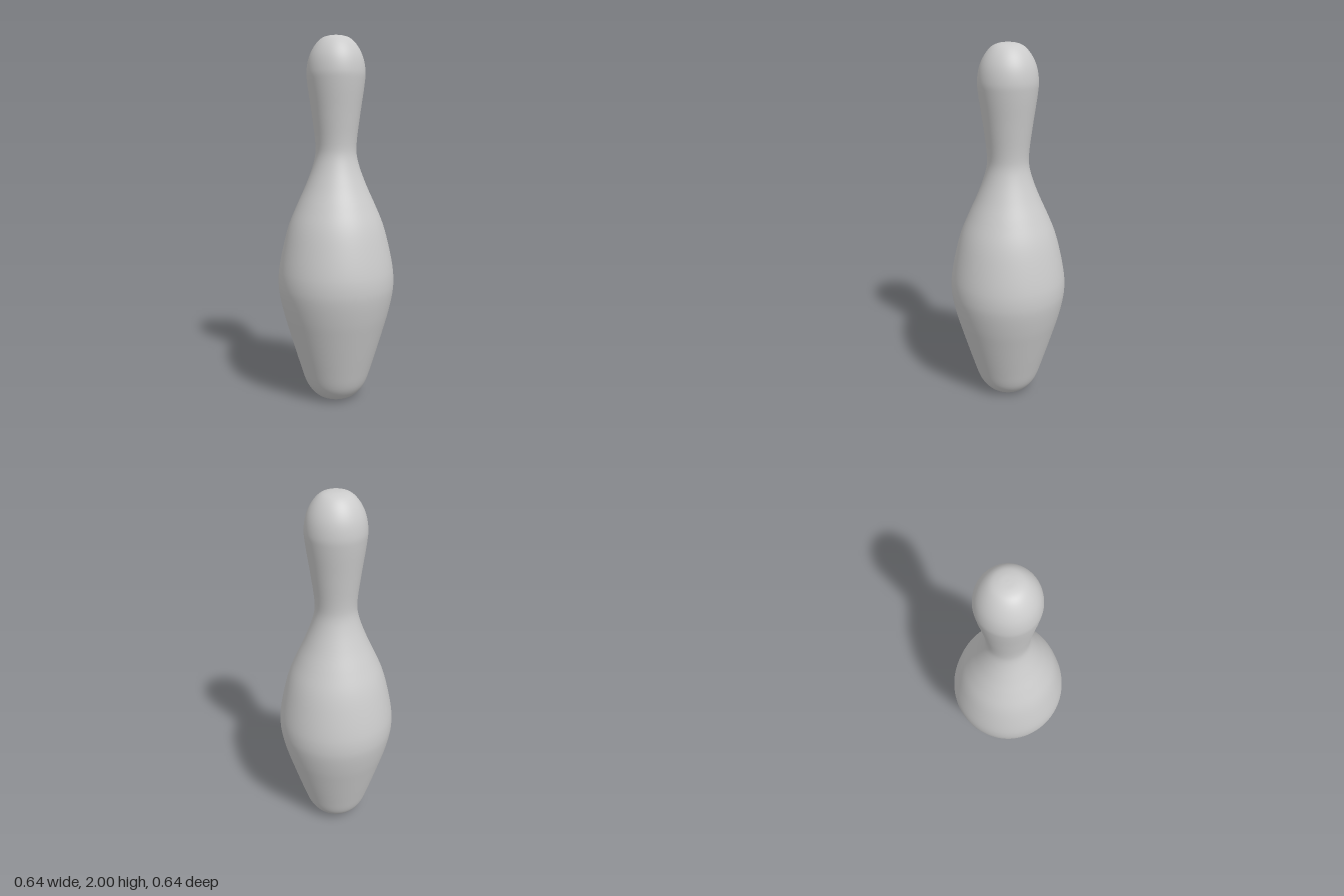
import * as THREE from 'three';

// Half profile from base to crown: [radius, height]
const PROFILE = [
  [0, 0], [0.05, 0.001], [0.09, 0.007], [0.12, 0.026], [0.15, 0.06], [0.172, 0.1],
  [0.205, 0.2], [0.265, 0.4], [0.293, 0.5], [0.314, 0.6], [0.32, 0.66], [0.316, 0.74],
  [0.284, 0.9], [0.255, 1.0], [0.213, 1.1], [0.168, 1.2], [0.13, 1.3], [0.113, 1.37],
  [0.112, 1.43], [0.13, 1.58], [0.154, 1.75], [0.158, 1.81], [0.145, 1.885],
  [0.115, 1.945], [0.078, 1.983], [0.04, 1.997], [0, 2],
];

export function createModel() {
  const group = new THREE.Group();
  group.name = 'pin';

  // Smooth the profile, keeping both ends exactly on the axis
  const curve = new THREE.CatmullRomCurve3(
    PROFILE.map(([r, y]) => new THREE.Vector3(r, y, 0)), false, 'centripetal');
  const points = curve.getPoints(130).map((p) => new THREE.Vector2(Math.max(p.x, 0), p.y));
  points[0].x = 0;
  points[points.length - 1].x = 0;

  // Turned body, one continuous surface
  const body = new THREE.Mesh(
    new THREE.LatheGeometry(points, 96),
    new THREE.MeshStandardMaterial({ color: 0xcccccc }));
  body.name = 'pinBody';
  group.add(body);

  return group;
}
